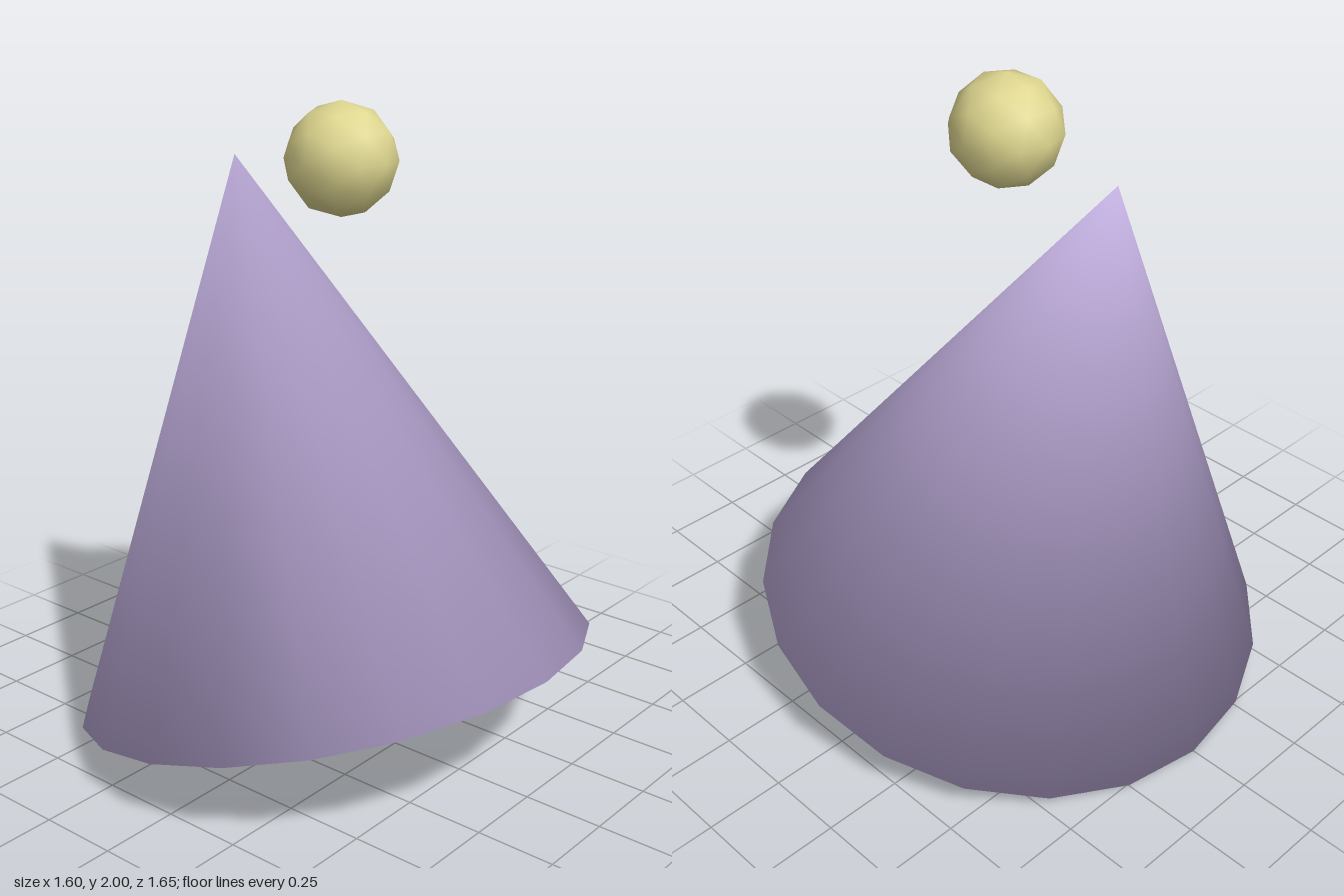
import * as THREE from 'three';

// Closed cone whose side and base share softly blended rim normals
function softCone(radius, height, sides) {
  const position = [0, height, 0];
  const normal = [0, 1, 0];
  const index = [];
  for (let i = 0; i < sides; i++) {
    const a = (i / sides) * Math.PI * 2;
    const c = Math.cos(a), s = Math.sin(a);
    position.push(radius * c, 0, -radius * s);
    normal.push(0.876 * c, -0.482, -0.876 * s);
    // side face, then base fan
    index.push(0, 1 + i, 1 + ((i + 1) % sides));
    if (i > 0 && i < sides - 1) index.push(1, 2 + i, 1 + i);
  }
  const geometry = new THREE.BufferGeometry();
  geometry.setAttribute('position', new THREE.Float32BufferAttribute(position, 3));
  geometry.setAttribute('normal', new THREE.Float32BufferAttribute(normal, 3));
  geometry.setIndex(index);
  return geometry;
}

export function createModel() {
  const model = new THREE.Group();

  const lavender = new THREE.MeshStandardMaterial({ color: 0xc3b1e1 });
  lavender.name = 'lavender';
  const paleYellow = new THREE.MeshStandardMaterial({ color: 0xded68f });
  paleYellow.name = 'pale yellow';

  // Cone leaning toward -x, with the low edge of its base on the ground
  const cone = new THREE.Mesh(softCone(0.825, 1.65, 20), lavender);
  cone.name = 'leaningCone';
  cone.position.set(0, 0.2, 0);
  cone.rotation.z = Math.atan(0.25);
  model.add(cone);

  // Small ball floating beside the tip
  const ball = new THREE.Mesh(new THREE.IcosahedronGeometry(0.17, 1), paleYellow);
  ball.name = 'floatingBall';
  ball.position.set(0.025, 1.83, 0);
  model.add(ball);

  return model;
}
